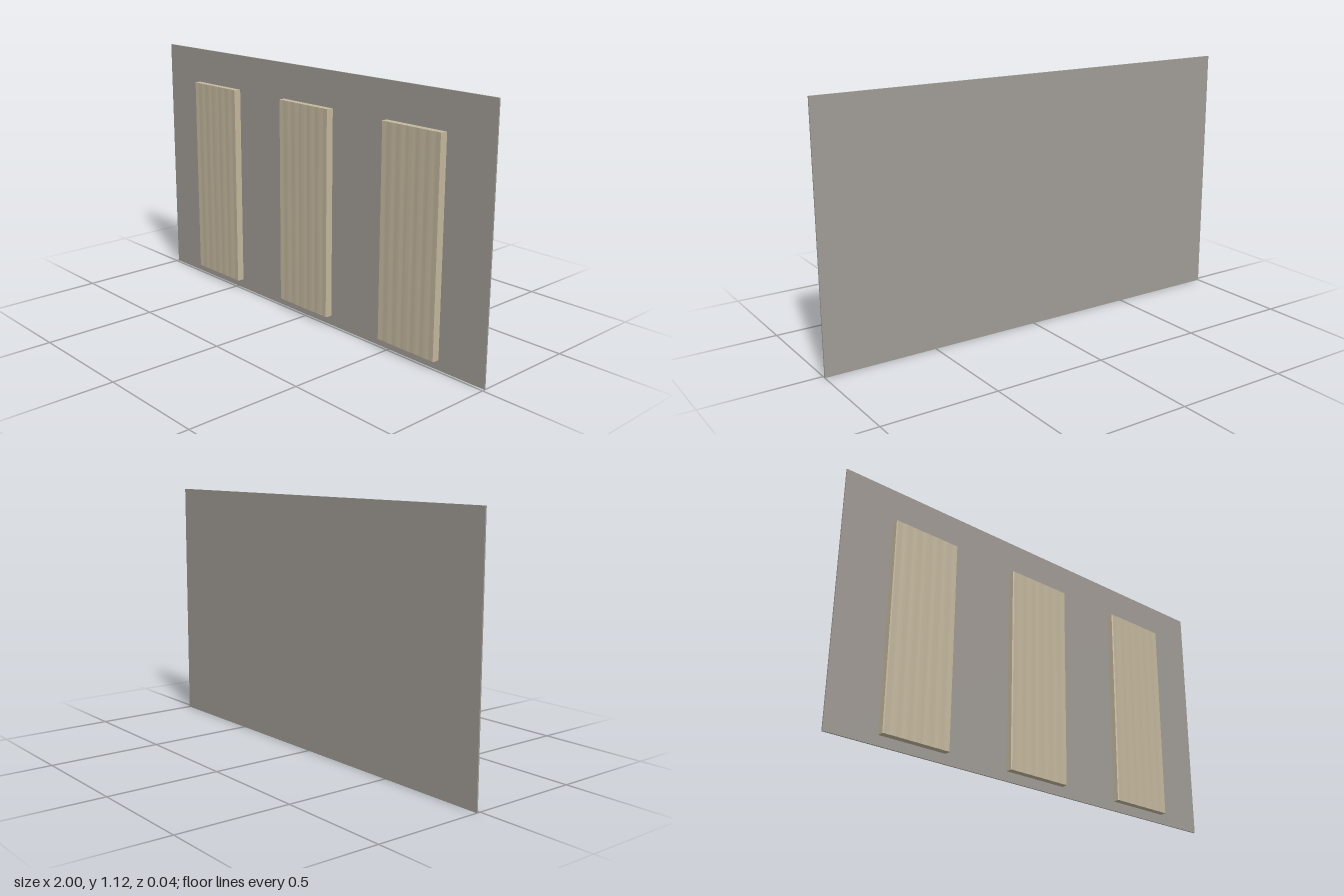
import * as THREE from 'three';
import { toCreasedNormals } from 'three/addons/utils/BufferGeometryUtils.js';

const WIDTH = 0.308, HEIGHT = 0.92, BACK_Z = -0.012, FRONT_Z = 0.018;

// Upright slab whose front is very gently fluted, with softened front corners
function slabGeometry() {
  const half = WIDTH / 2, soft = 0.004, steps = 48;
  const shape = new THREE.Shape();
  shape.moveTo(-half, -BACK_Z);
  shape.lineTo(-half, -(FRONT_Z - soft));
  for (let i = 0; i <= steps; i++) {
    const t = i / steps;
    const x = THREE.MathUtils.lerp(-half + soft, half - soft, t);
    const ripple = 0.0007 * (1 - Math.cos(t * Math.PI * 12));
    shape.lineTo(x, -(FRONT_Z - ripple));
  }
  shape.lineTo(half, -(FRONT_Z - soft));
  shape.lineTo(half, -BACK_Z);
  shape.closePath();
  const geometry = new THREE.ExtrudeGeometry(shape, { depth: HEIGHT, bevelEnabled: false });
  geometry.rotateX(-Math.PI / 2);
  return toCreasedNormals(geometry, 0.5);
}

export function createModel() {
  const model = new THREE.Group();
  model.name = 'wallPanel';

  const wallGrey = new THREE.MeshStandardMaterial({ color: 0xa09b95 });
  wallGrey.name = 'warm grey';
  const slabBeige = new THREE.MeshStandardMaterial({ color: 0xc4b89e });
  slabBeige.name = 'beige';

  // Thin backing board
  const backing = new THREE.Mesh(new THREE.BoxGeometry(2, 1.12, 0.006), wallGrey);
  backing.name = 'backingBoard';
  backing.position.set(0, 0.56, -0.015);
  model.add(backing);

  // Three evenly spaced slabs on the front
  const geometry = slabGeometry();
  ['rightSlab', 'middleSlab', 'leftSlab'].forEach((name, i) => {
    const slab = new THREE.Mesh(geometry, slabBeige);
    slab.name = name;
    slab.position.set((i - 1) * 0.615, 0.043, 0);
    model.add(slab);
  });

  return model;
}
